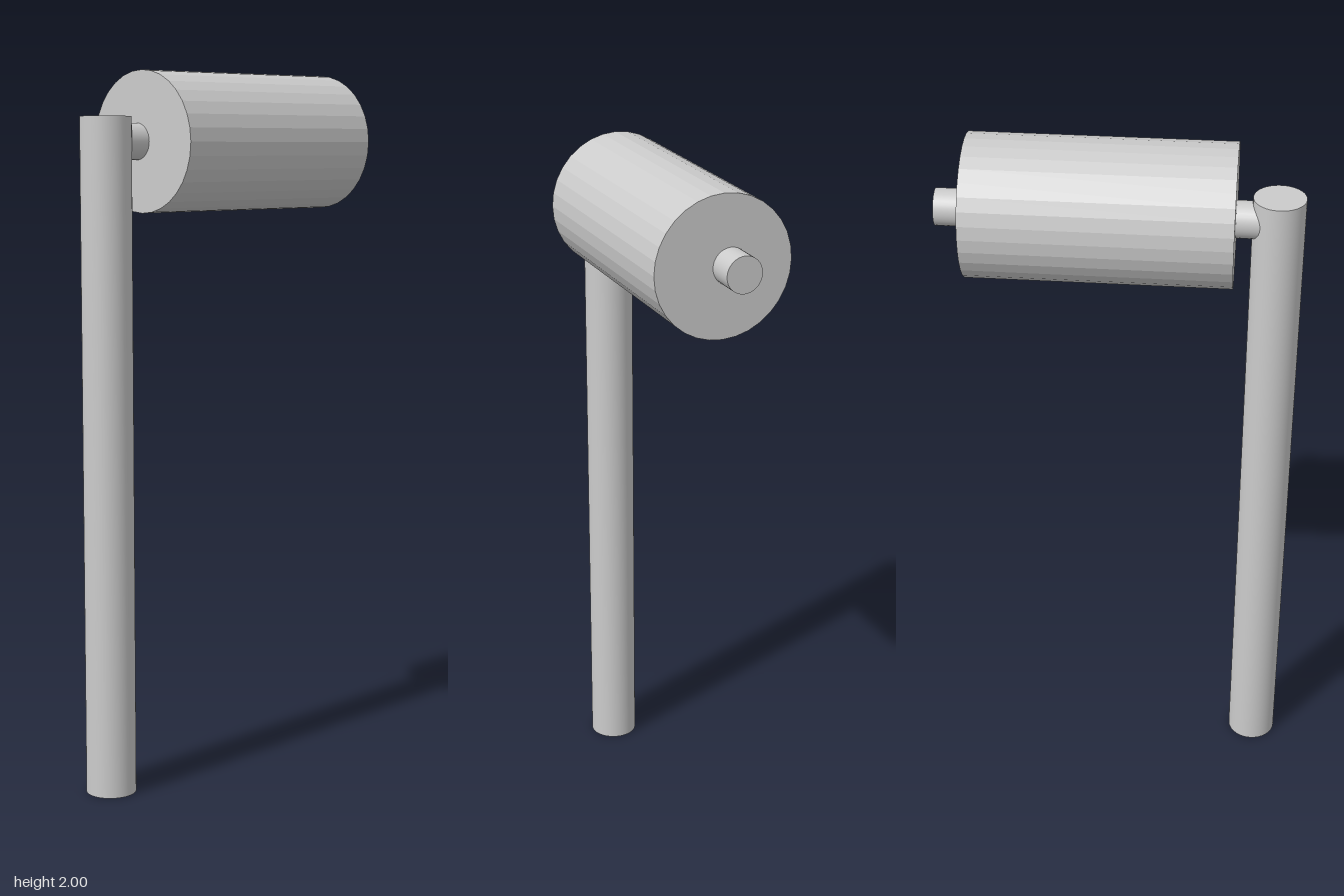
import * as THREE from 'three';

export function createModel() {
  const model = new THREE.Group();
  const smooth = new THREE.MeshStandardMaterial({ color: 0xcccccc });
  const faceted = new THREE.MeshStandardMaterial({ color: 0xcccccc, flatShading: true });

  function addCylinder(name, radius, length, sides, material, x, y, z) {
    const mesh = new THREE.Mesh(new THREE.CylinderGeometry(radius, radius, length, sides), material);
    mesh.name = name;
    mesh.position.set(x, y, z);
    model.add(mesh);
    return mesh;
  }

  // Upright post
  addCylinder('post', 0.07, 1.875, 48, smooth, -0.419, 0.9375, -0.02);

  // Axle runs from inside the post through the drum and out the far end
  const axleStart = -0.42, axleEnd = 0.487;
  const axle = addCylinder('axle', 0.05, axleEnd - axleStart, 32, smooth,
    (axleStart + axleEnd) / 2, 1.808, -0.02);
  axle.rotation.z = -Math.PI / 2;

  // Wide faceted drum, set slightly forward of the axle
  const drumStart = -0.307, drumEnd = 0.405;
  const drum = addCylinder('drum', 0.193, drumEnd - drumStart, 32, faceted,
    (drumStart + drumEnd) / 2, 1.807, 0);
  drum.rotation.z = -Math.PI / 2;

  return model;
}
